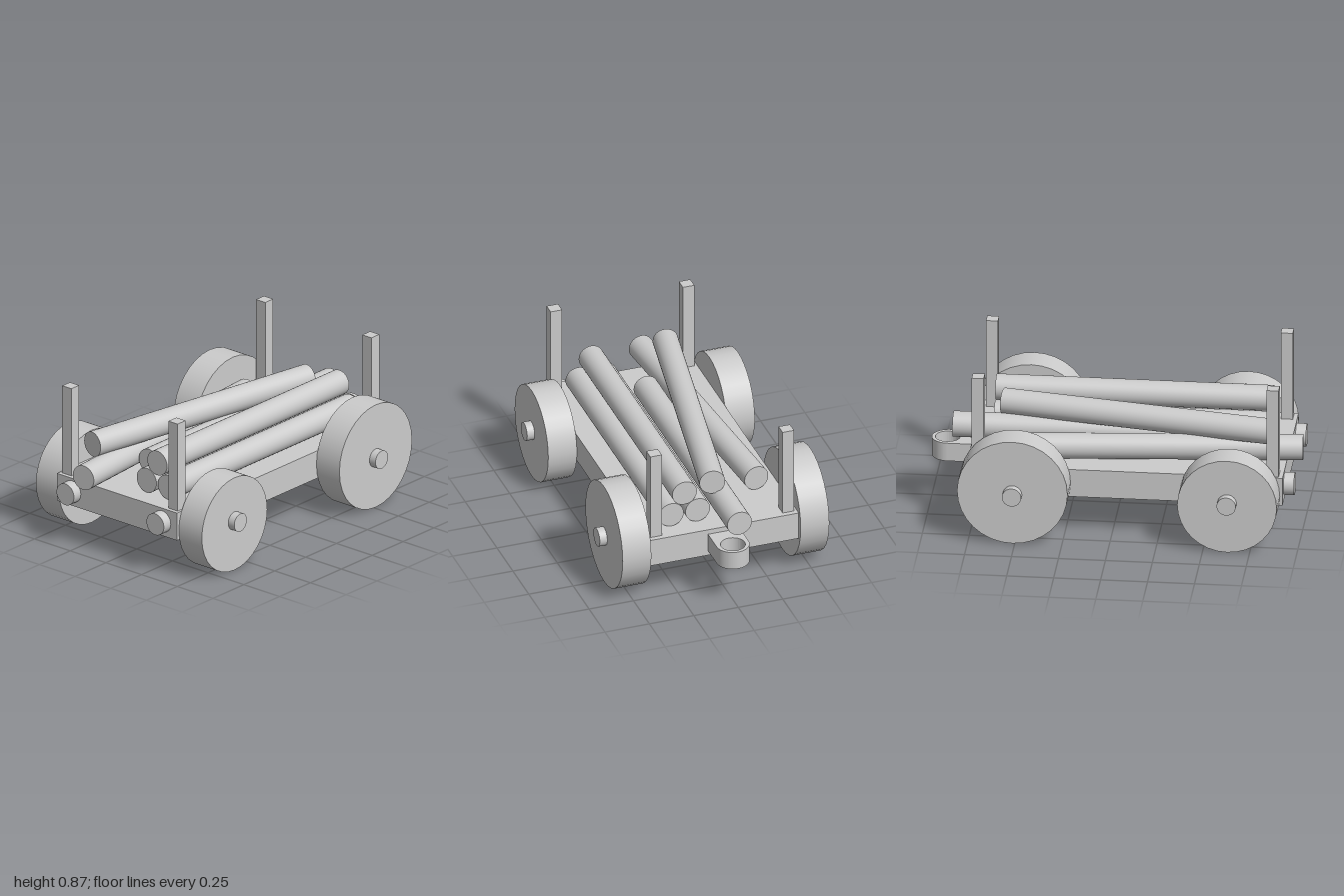
import * as THREE from 'three';

const material = new THREE.MeshStandardMaterial({ color: 0xcccccc });

export function createModel() {
  const model = new THREE.Group();

  const add = (name, geometry, x = 0, y = 0, z = 0) => {
    const mesh = new THREE.Mesh(geometry, material);
    mesh.name = name;
    mesh.position.set(x, y, z);
    model.add(mesh);
    return mesh;
  };

  // Cylinder laid between two points
  const rod = (name, from, to, radius, sides = 32) => {
    const a = new THREE.Vector3(...from), b = new THREE.Vector3(...to);
    const dir = b.clone().sub(a);
    const mesh = add(name, new THREE.CylinderGeometry(radius, radius, dir.length(), sides));
    mesh.position.copy(a).add(b).multiplyScalar(0.5);
    mesh.quaternion.setFromUnitVectors(new THREE.Vector3(0, 1, 0), dir.normalize());
  };

  // Flat bed
  add('bed', new THREE.BoxGeometry(1.685, 0.157, 0.84), -0.067, 0.292, 0);

  // Wheels and axles: smaller pair at the tail, larger pair at the hitch end
  for (const [x, radius] of [[-0.63, 0.265], [0.513, 0.294]]) {
    rod('axle', [x, 0.284, -0.623], [x, 0.284, 0.623], 0.051);
    for (const s of [-1, 1]) {
      rod('wheel', [x, radius, s * 0.42], [x, radius, s * 0.581], radius, 32);
    }
  }

  for (const s of [-1, 1]) {
    // Corner stakes
    for (const x of [-0.855, 0.715]) {
      add('stake', new THREE.BoxGeometry(0.064, 0.52, 0.064), x, 0.61, s * 0.372);
    }
    // Buffers on the tail end
    rod('buffer', [-0.965, 0.295, s * 0.315], [-0.89, 0.295, s * 0.315], 0.061);
  }

  // Hitch: rounded tongue with a vertical pin hole
  const tongue = new THREE.Shape();
  tongue.moveTo(0.76, -0.09);
  tongue.lineTo(0.91, -0.09);
  tongue.absarc(0.91, 0, 0.09, -Math.PI / 2, Math.PI / 2, false);
  tongue.lineTo(0.76, 0.09);
  tongue.closePath();
  const hole = new THREE.Path();
  hole.absarc(0.915, 0, 0.066, 0, Math.PI * 2, true);
  tongue.holes.push(hole);
  const hitch = new THREE.ExtrudeGeometry(tongue, { depth: 0.103, bevelEnabled: false, curveSegments: 20 });
  hitch.rotateX(-Math.PI / 2);
  add('hitch', hitch, 0, 0.24, 0);

  // Load of logs: [x, z] of each end, and layer height
  const low = 0.441, high = 0.56;
  const logs = [
    [-0.8, 0.26, 0.675, 0.26, low],
    [-0.8, 0.112, 0.675, 0.112, low],
    [-0.595, -0.05, 0.88, -0.05, low],
    [-0.994, -0.163, 0.474, -0.29, low],
    [-0.8, 0.186, 0.675, 0.186, high],
    [-0.828, -0.243, 0.62, 0.01, high],
  ];
  for (const [x0, z0, x1, z1, y] of logs) rod('log', [x0, y, z0], [x1, y, z1], 0.069);

  return model;
}
